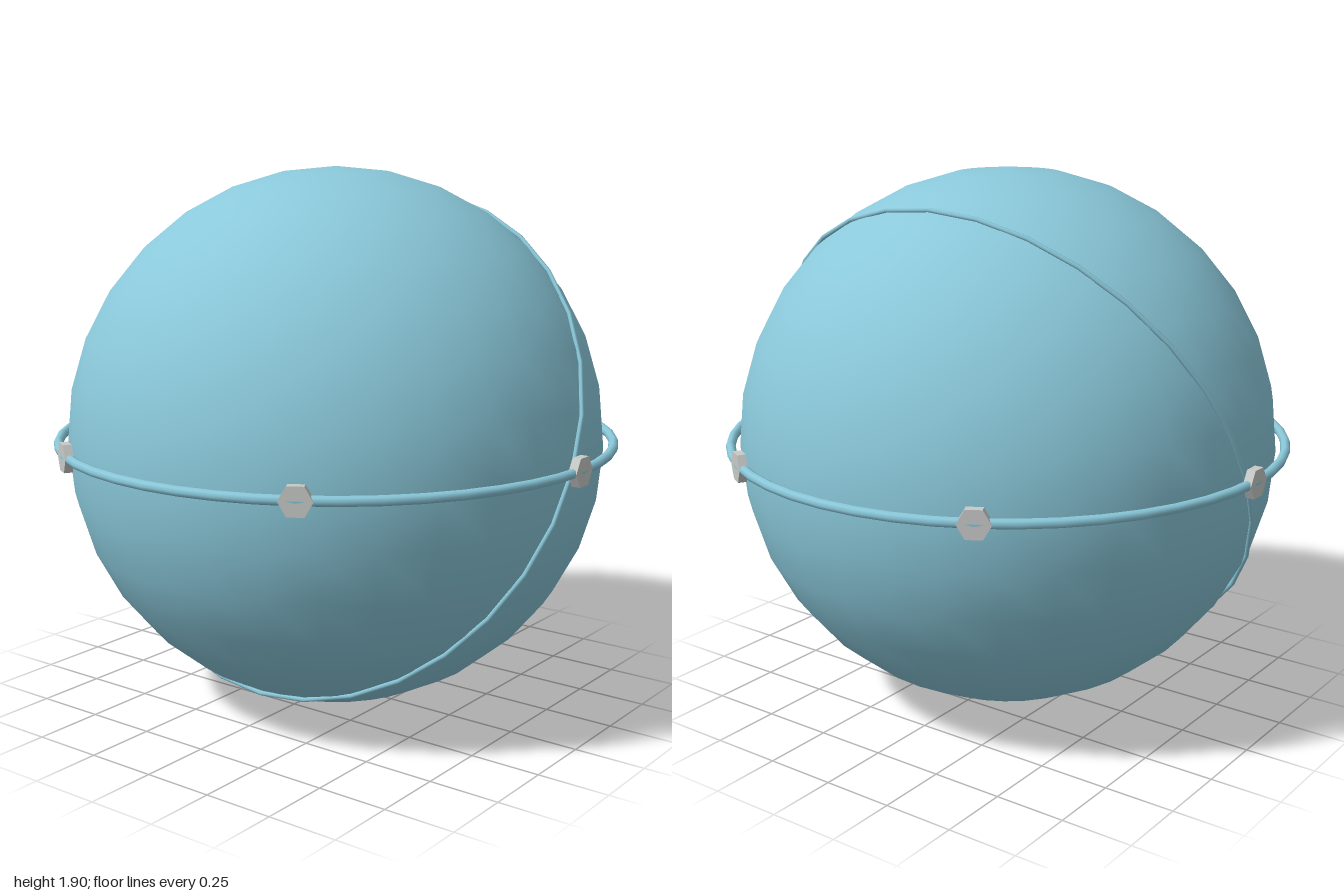
import * as THREE from 'three';

export function createModel() {
  const model = new THREE.Group();
  model.name = 'ringedSphere';

  const blue = new THREE.MeshStandardMaterial({ color: 0x8ac8da });
  blue.name = 'pale blue';
  const grey = new THREE.MeshStandardMaterial({ color: 0xc8cac8 });
  grey.name = 'light grey';

  const centreY = 0.953;
  const ringRadius = 0.983;

  const add = (name, geometry, material) => {
    const mesh = new THREE.Mesh(geometry, material);
    mesh.name = name;
    mesh.position.y = centreY;
    model.add(mesh);
    return mesh;
  };

  // Main globe
  add('globe', new THREE.SphereGeometry(0.95, 32, 16), blue);

  // Level ring around the equator
  const equator = add('equatorRing', new THREE.TorusGeometry(ringRadius, 0.017, 8, 48), blue);
  equator.rotation.x = Math.PI / 2;

  // Thin ring leaning back over the globe
  const tilted = add('tiltedRing', new THREE.TorusGeometry(0.955, 0.008, 6, 32), blue);
  tilted.rotation.x = -0.475;

  // Six hexagonal nodes facing outward along the equator ring
  const hexagon = new THREE.CylinderGeometry(0.055, 0.055, 0.03, 6).rotateZ(Math.PI / 2).toNonIndexed();
  hexagon.computeVertexNormals();
  for (let i = 0; i < 6; i++) {
    const angle = (i * Math.PI) / 3;
    const node = add('ringNode' + (i + 1), hexagon, grey);
    node.position.x = Math.cos(angle) * ringRadius;
    node.position.z = -Math.sin(angle) * ringRadius;
    node.rotation.y = angle;
  }

  return model;
}
